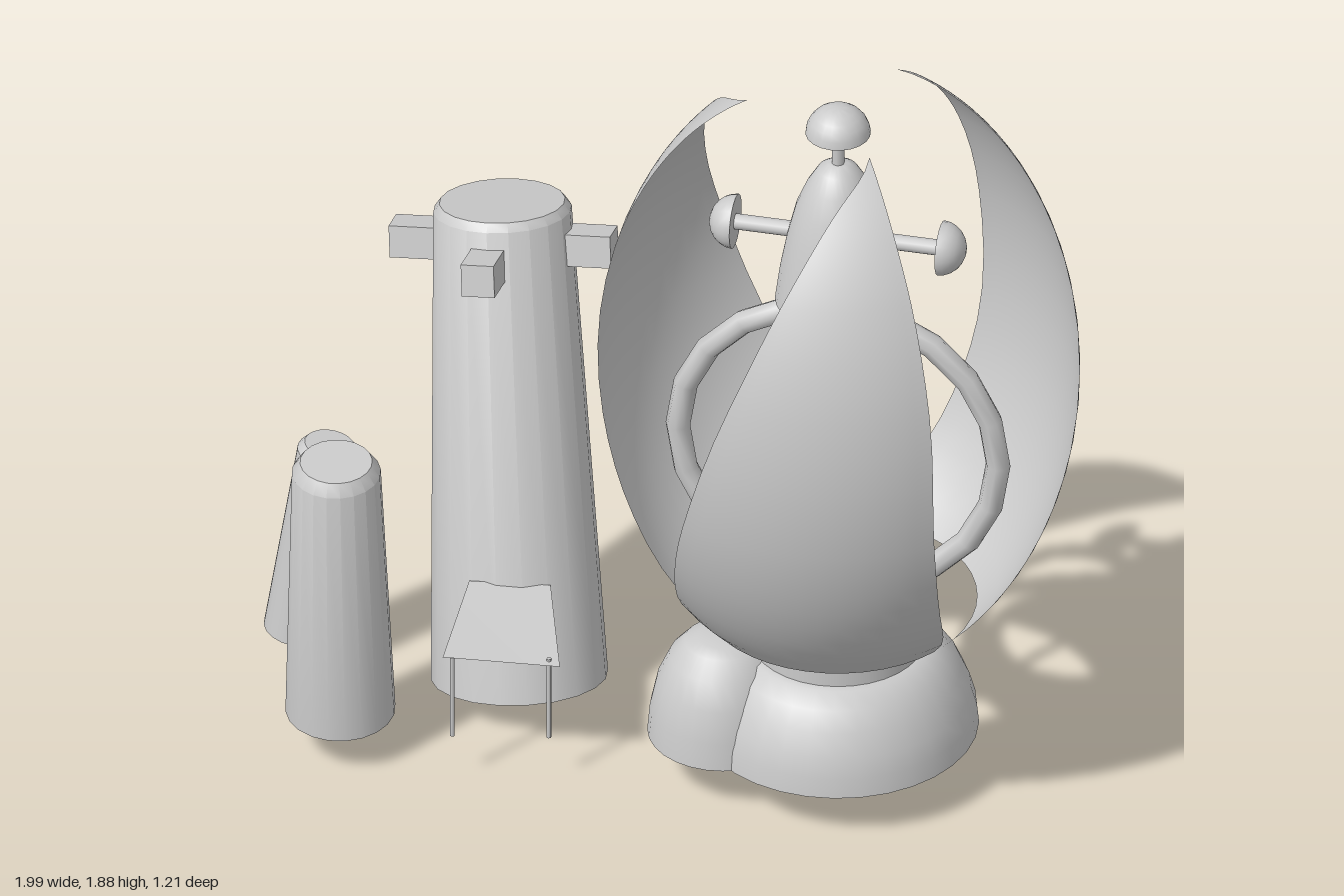
import * as THREE from 'three';
import { toCreasedNormals } from 'three/addons/utils/BufferGeometryUtils.js';

const mat = new THREE.MeshStandardMaterial({ color: 0xcccccc, side: THREE.DoubleSide });
const UP = new THREE.Vector3(0, 1, 0);

function add(parent, name, geo, x = 0, y = 0, z = 0) {
  const mesh = new THREE.Mesh(geo, mat);
  mesh.name = name;
  mesh.position.set(x, y, z);
  parent.add(mesh);
  return mesh;
}

// Turned part from [radius, height] pairs
function lathe(points, segments = 28) {
  const profile = points.map(([r, y]) => new THREE.Vector2(r, y));
  return toCreasedNormals(new THREE.LatheGeometry(profile, segments), 0.6);
}

// Half-round knob with a flat underside, standing on y = 0
function knob(r, h) {
  const points = [[0, 0]];
  for (let i = 0; i <= 6; i++) {
    const a = (i / 6) * Math.PI / 2;
    points.push([r * Math.cos(a), h * Math.sin(a)]);
  }
  return lathe(points, 20);
}

// Patch of an egg-shaped shell: a point at the top, spreading to a flat lower edge
function petalGeometry() {
  // height, start angle, end angle (degrees, from +x towards +z)
  const edges = new THREE.CatmullRomCurve3([
    [1.87, 57, 57], [1.8, 56.5, 76], [1.73, 56, 85], [1.6, 55, 94], [1.335, 54, 105],
    [0.96, 53, 118], [0.7, 47, 130], [0.475, 33, 148],
  ].map((p) => new THREE.Vector3(p[0], p[1] / 100, p[2] / 100)));
  const rows = 28, cols = 14, pos = [], index = [];
  for (let i = 0; i <= rows; i++) {
    const e = edges.getPoint(i / rows);
    const r = 0.575 * Math.sqrt(1 - ((e.x - 1.13) / 0.8) ** 2);
    for (let j = 0; j <= cols; j++) {
      const a = THREE.MathUtils.degToRad(100 * THREE.MathUtils.lerp(e.y, e.z, j / cols));
      pos.push(r * Math.cos(a), e.x, r * Math.sin(a));
      if (i < rows && j < cols) {
        const k = i * (cols + 1) + j, n = k + cols + 1;
        index.push(k, k + 1, n, k + 1, n + 1, n);
      }
    }
  }
  const geo = new THREE.BufferGeometry();
  geo.setAttribute('position', new THREE.Float32BufferAttribute(pos, 3));
  geo.setIndex(index);
  geo.computeVertexNormals();
  return geo;
}

// Leaning, tapered, open-bottomed tower with a bevelled cap
function tower(parent, name, bottom, top, r0, r1, capR, bevel) {
  const a = new THREE.Vector3(...bottom), axis = new THREE.Vector3(...top).sub(a);
  const h = axis.length();
  const group = new THREE.Group();
  group.name = name;
  group.position.copy(a);
  group.quaternion.setFromUnitVectors(UP, axis.normalize());
  parent.add(group);
  add(group, name + 'Shell', lathe([[r0, 0], [r1, h - bevel], [capR, h], [0, h]], 20));
  return group;
}

export function createModel() {
  const model = new THREE.Group();
  model.name = 'petalTowerScene';

  const main = new THREE.Group();
  main.name = 'petalTower';
  main.position.set(0.422, 0, 0.024);
  model.add(main);

  // Domed base, side dome and collar
  add(main, 'baseDome', lathe([[0.335, 0.12], [0.33, 0.17], [0.316, 0.22], [0.292, 0.275],
    [0.262, 0.32], [0.225, 0.352], [0.207, 0.355]], 32));
  add(main, 'sideDome', lathe([[0.18, 0], [0.174, 0.07], [0.157, 0.15], [0.128, 0.215],
    [0.092, 0.257], [0.06, 0.27], [0, 0.27]]), -0.257, 0.12, 0.1);
  add(main, 'collar', new THREE.CylinderGeometry(0.208, 0.208, 0.125, 32, 1, true), 0, 0.415, 0);
  add(main, 'mast', new THREE.CylinderGeometry(0.015, 0.015, 1.765, 10), 0, 0.9275, 0);

  // Three petals around the mast
  const petal = petalGeometry();
  for (let i = 0; i < 3; i++) {
    add(main, 'petal', petal).rotation.y = -i * Math.PI * 2 / 3;
  }

  // Rings inside the petals
  add(main, 'largeRing', new THREE.TorusGeometry(0.39, 0.03, 8, 20), 0, 0.91, 0);
  add(main, 'mediumRing', new THREE.TorusGeometry(0.335, 0.025, 8, 20), 0, 0.91, 0)
    .rotation.y = -THREE.MathUtils.degToRad(56);
  add(main, 'smallRing', new THREE.TorusGeometry(0.187, 0.02, 8, 20), 0, 0.91, 0)
    .rotation.x = Math.PI / 2;

  // Bell with a knob on top and one on each side
  add(main, 'bell', lathe([[0.15, 1.33], [0.138, 1.42], [0.121, 1.51], [0.1, 1.595],
    [0.075, 1.655], [0.048, 1.7], [0.025, 1.716], [0, 1.718]]));
  add(main, 'topKnob', knob(0.078, 0.072), 0, 1.803, 0);
  for (const s of [-1, 1]) {
    add(main, 'sideRod', new THREE.CylinderGeometry(0.02, 0.02, 0.16, 10), s * 0.18, 1.51, 0)
      .rotation.z = Math.PI / 2;
    add(main, 'sideKnob', knob(0.066, 0.062), s * 0.25, 1.51, 0).rotation.z = -s * Math.PI / 2;
  }

  // Towers
  const big = tower(model, 'largeTower', [-0.383, 0.045, -0.1], [-0.485, 1.215, -0.36],
    0.211, 0.165, 0.15, 0.02);
  for (let i = 0; i < 4; i++) {
    const a = i * Math.PI / 2;
    add(big, 'bracket', new THREE.BoxGeometry(0.13, 0.08, 0.08),
      0.205 * Math.cos(a), 1.1, 0.205 * Math.sin(a)).rotation.y = -a;
  }
  tower(model, 'frontTower', [-0.745, 0.105, 0.22], [-0.745, 0.84, 0.265], 0.131, 0.106, 0.086, 0.03);
  tower(model, 'smallTower', [-0.914, 0.11, -0.085], [-0.845, 0.635, -0.1], 0.087, 0.075, 0.06, 0.02);

  // Awning beside the large tower
  const canopy = new THREE.BufferGeometry();
  canopy.setAttribute('position', new THREE.Float32BufferAttribute([
    -0.475, 0.385, 0.03, -0.475, 0.35, 0.31, -0.2, 0.335, 0.265, -0.285, 0.378, -0.005], 3));
  canopy.setIndex([0, 1, 2, 0, 2, 3]);
  canopy.computeVertexNormals();
  add(model, 'awning', canopy);
  for (const [x, z] of [[-0.455, 0.295], [-0.23, 0.25]]) {
    add(model, 'awningLeg', new THREE.CylinderGeometry(0.006, 0.006, 0.225, 6), x, 0.232, z);
  }
  return model;
}
